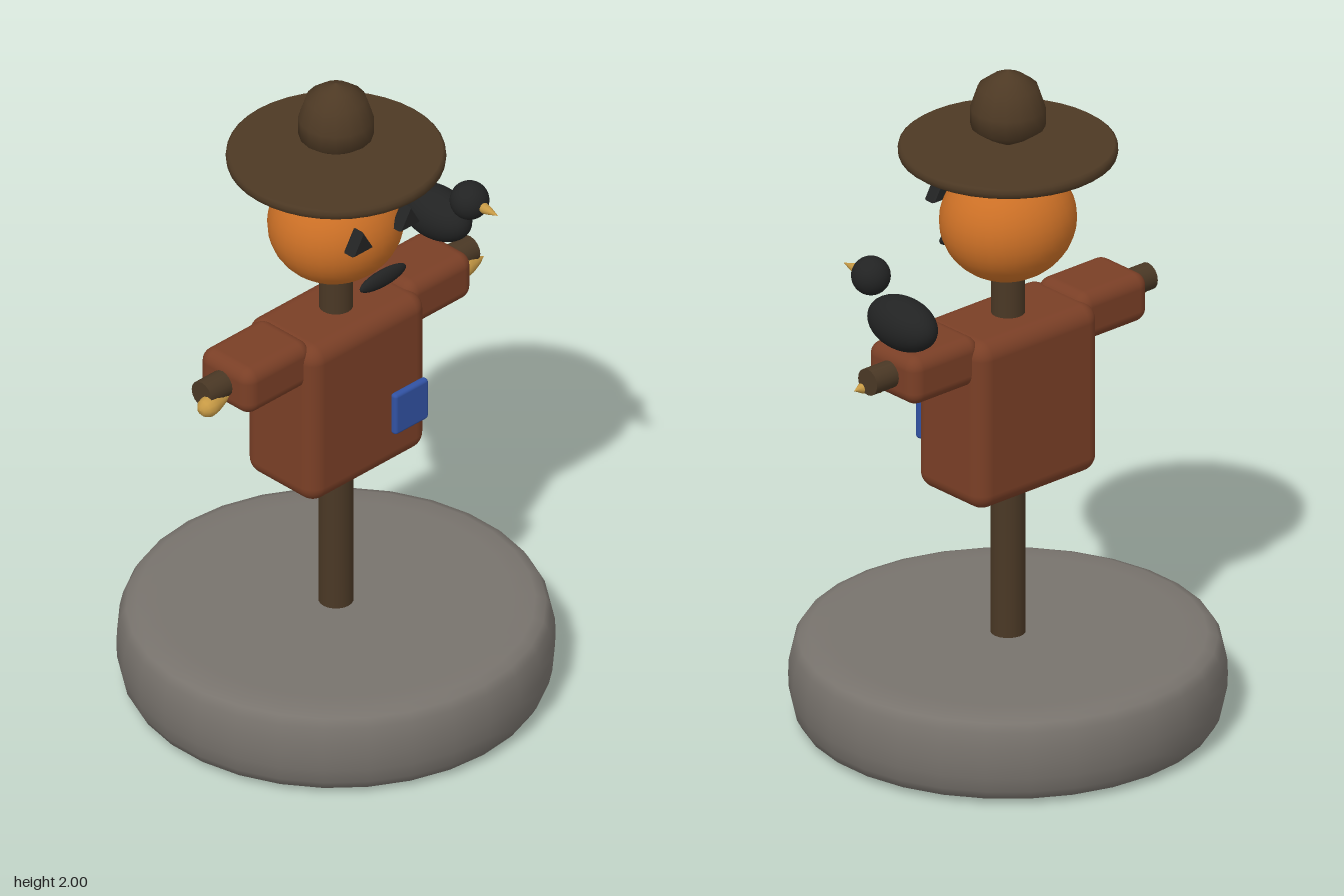
import * as THREE from 'three';
import { RoundedBoxGeometry } from 'three/addons/geometries/RoundedBoxGeometry.js';

const mat = (name, color) => {
  const m = new THREE.MeshStandardMaterial({ color });
  m.name = name;
  return m;
};

export function createModel() {
  const model = new THREE.Group();
  model.name = 'scarecrow';

  const stone = mat('stone grey', 0x78736d);
  const wood = mat('dark wood', 0x4a3825);
  const felt = mat('hat brown', 0x4d3924);
  const cloth = mat('rust cloth', 0x7a3f26);
  const pumpkin = mat('pumpkin orange', 0xcc7026);
  const black = mat('black', 0x222323);
  const straw = mat('straw', 0xc79a45);
  const blue = mat('patch blue', 0x3152a3);

  const add = (name, geometry, material, x = 0, y = 0, z = 0, parent = model) => {
    const mesh = new THREE.Mesh(geometry, material);
    mesh.name = name;
    mesh.position.set(x, y, z);
    parent.add(mesh);
    return mesh;
  };
  const lathe = (points, sides) =>
    new THREE.LatheGeometry(points.map(([r, y]) => new THREE.Vector2(r, y)), sides);
  const ellipsoid = (rx, ry, rz) => new THREE.SphereGeometry(1, 32, 20).scale(rx, ry, rz);

  // Round stone base with softened rims
  add('base', lathe([
    [0, 0.005], [0.5, 0.005], [0.56, 0.007], [0.59, 0.018], [0.605, 0.045], [0.615, 0.09],
    [0.617, 0.135], [0.615, 0.18], [0.605, 0.225], [0.59, 0.25], [0.56, 0.262], [0.5, 0.265], [0, 0.265],
  ], 30), stone);
  add('baseUnderside', new THREE.CylinderGeometry(0.5, 0.5, 0.01, 30), stone, 0, 0.005, 0);

  // Post and cross bar
  add('post', new THREE.CylinderGeometry(0.048, 0.05, 1.22, 20), wood, 0, 0.83, 0);
  add('crossBar', new THREE.CylinderGeometry(0.04, 0.04, 1.06, 16).rotateZ(Math.PI / 2), wood, 0, 1.198, 0);

  // Shirt
  add('shirt', new RoundedBoxGeometry(0.462, 0.515, 0.28, 5, 0.05), cloth, 0, 0.995, 0);
  for (const [side, s] of [['left', 1], ['right', -1]]) {
    add(side + 'Sleeve', new RoundedBoxGeometry(0.26, 0.148, 0.205, 5, 0.04), cloth, s * 0.318, 1.194, 0);
  }
  add('patch', new RoundedBoxGeometry(0.132, 0.134, 0.024, 3, 0.01), blue, 0.13, 0.93, 0.162);

  // Straw hands: teardrops that both point the same way
  const hand = lathe([
    [0, 0], [0.014, 0.003], [0.025, 0.014], [0.031, 0.032], [0.027, 0.055], [0.015, 0.09], [0, 0.118],
  ], 12).rotateZ(-Math.PI / 2);
  add('rightHand', hand, straw, -0.562, 1.17, 0.026);
  add('leftHand', hand, straw, 0.44, 1.17, 0.026);

  // Pumpkin head
  add('head', ellipsoid(0.2, 0.178, 0.187), pumpkin, 0, 1.541, 0);

  // Carved face
  const triangle = new THREE.Shape();
  triangle.moveTo(-0.037, -0.028);
  triangle.lineTo(0.035, -0.028);
  triangle.lineTo(0, 0.032);
  triangle.closePath();
  const eye = new THREE.ExtrudeGeometry(triangle, {
    depth: 0.03, bevelEnabled: true, bevelSize: 0.003, bevelThickness: 0.005, bevelSegments: 1,
  });
  add('leftEye', eye, black, 0.093, 1.599, 0.17);
  add('rightEye', eye, black, -0.093, 1.599, 0.17);
  add('mouth', ellipsoid(0.09, 0.027, 0.018), black, 0, 1.432, 0.187);

  // Hat
  add('hatBrim', lathe([
    [0, -0.018], [0.3, -0.018], [0.308, -0.012], [0.31, 0], [0.308, 0.012], [0.3, 0.018], [0, 0.018],
  ], 40), felt, 0, 1.757, 0);
  add('hatCrown', lathe([
    [0, 1.766], [0.06, 1.798], [0.106, 1.83], [0.107, 1.885], [0.085, 1.95], [0.045, 1.98], [0, 2],
  ], 16), felt);

  // Crow hovering over the left arm
  const crow = new THREE.Group();
  crow.name = 'crow';
  crow.position.x = 0.423;
  model.add(crow);
  add('crowBody', ellipsoid(0.074, 0.077, 0.124), black, 0, 1.357, -0.028, crow);
  add('crowHead', ellipsoid(0.056, 0.056, 0.056), black, 0, 1.459, 0.105, crow);
  add('crowBeak', lathe([
    [0, 0], [0.011, 0.004], [0.016, 0.018], [0.011, 0.04], [0, 0.073],
  ], 10).rotateX(Math.PI / 2), straw, 0, 1.459, 0.146, crow);

  return model;
}
